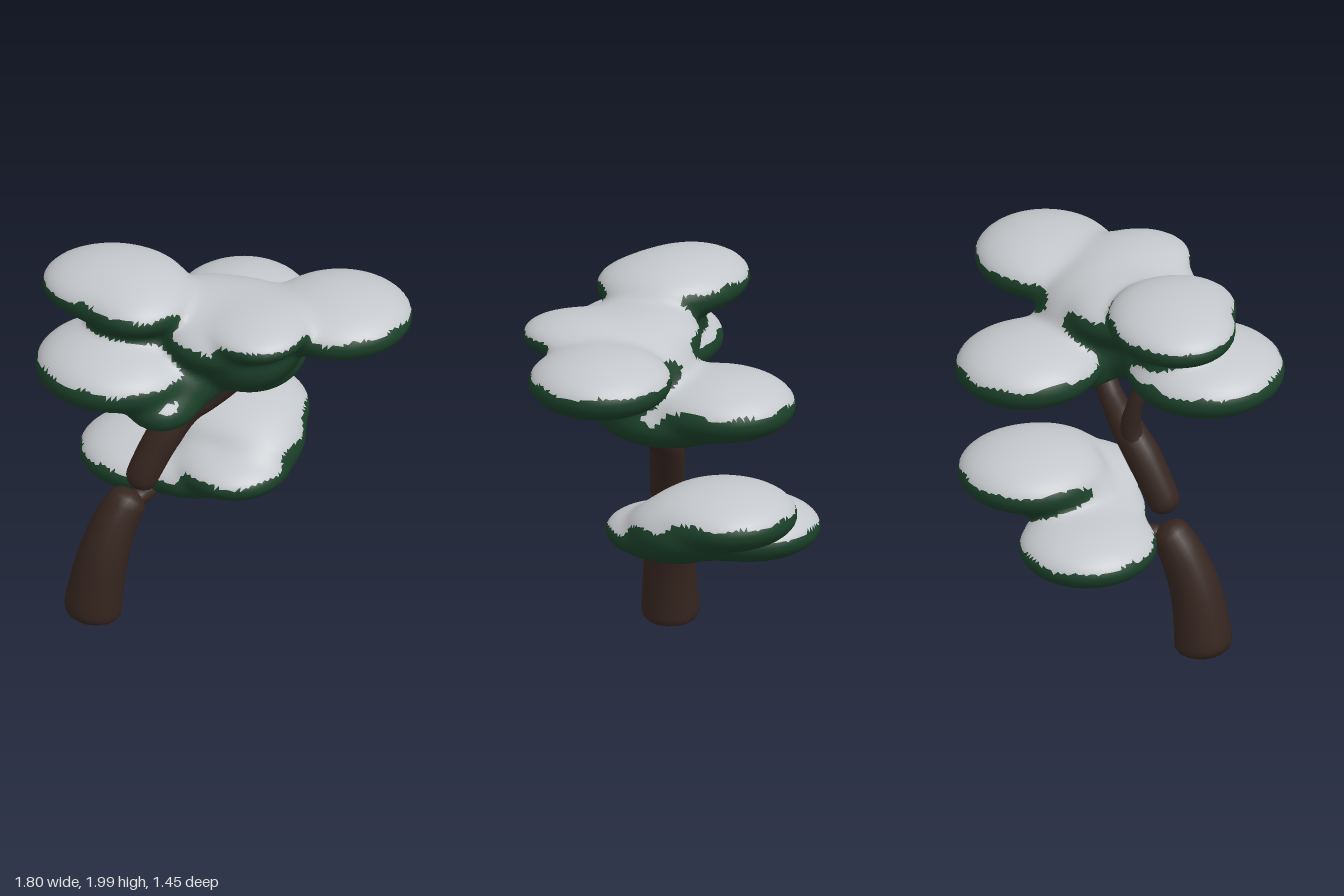
import * as THREE from 'three';
import { mergeVertices } from 'three/addons/utils/BufferGeometryUtils.js';

const material = (color, side = THREE.FrontSide) => new THREE.MeshStandardMaterial({ color, side });
const bark = material(0x35251f);
const leaf = material(0x1b4029, THREE.DoubleSide);
const snow = material(0xc4c7cb, THREE.DoubleSide);

// Each lobe: centre x, y, z, then radii x, y, z
const canopyLobes = [
  [-0.55, 1.855, 0.13, 0.35, 0.135, 0.30], // high left
  [-0.42, 1.84, 0.23, 0.26, 0.125, 0.295], // high left, inner side
  [-0.51, 1.53, 0.34, 0.39, 0.165, 0.385], // low left
  [-0.42, 1.68, 0.2, 0.22, 0.1, 0.2],      // web between the left lobes
  [-0.26, 1.40, 0.43, 0.18, 0.12, 0.235],  // small hanging lobe
  [-0.16, 1.48, 0.27, 0.2, 0.15, 0.24],    // web from hanging lobe to core
  [0.55, 1.715, 0.03, 0.355, 0.15, 0.35],  // right
  [0.20, 1.78, 0.33, 0.24, 0.10, 0.28],    // front
  [0.12, 1.63, 0.24, 0.25, 0.19, 0.28],    // slope under the front lobe
  [-0.02, 1.70, 0.28, 0.24, 0.13, 0.27],   // front shoulder
  [0.09, 1.60, 0.08, 0.30, 0.25, 0.30],    // core
  [-0.1, 1.72, 0.12, 0.24, 0.14, 0.28],    // bridge to the high left lobe
  [0.11, 1.41, -0.08, 0.26, 0.14, 0.32],   // underside
  [0.01, 1.485, -0.36, 0.34, 0.16, 0.365], // back
];
const lowerLobes = [
  [-0.45, 0.67, -0.28, 0.33, 0.14, 0.34],    // left
  [-0.01, 0.90, -0.37, 0.345, 0.15, 0.35],   // back
  [0.02, 0.765, -0.03, 0.265, 0.115, 0.275], // front
  [0.11, 0.83, -0.19, 0.23, 0.15, 0.26],     // slope from front to back
  [-0.2, 0.70, -0.12, 0.26, 0.115, 0.26],    // web from left to front
  [-0.13, 0.81, -0.22, 0.2, 0.13, 0.22],     // slope from web to back
];

// Distance to a smooth union of ellipsoids
function lobeField(lobes, blend = 0.028) {
  return (x, y, z) => {
    let sum = 0;
    for (const [cx, cy, cz, rx, ry, rz] of lobes) {
      const a = (x - cx) / rx, b = (y - cy) / ry, c = (z - cz) / rz;
      const k0 = Math.hypot(a, b, c), k1 = Math.hypot(a / rx, b / ry, c / rz) + 1e-9;
      sum += Math.exp(-Math.max(k0 * (k0 - 1) / k1, -0.4) / blend);
    }
    return -blend * Math.log(sum + 1e-30);
  };
}

// Surface net over a grid: one vertex per crossed cell, one quad per crossed edge
function surfaceNet(field, box, step) {
  const n = box.getSize(new THREE.Vector3()).divideScalar(step).ceil().toArray().map(v => v + 1);
  const o = box.min.toArray(), stride = [1, n[0], n[0] * n[1]];
  const total = n[0] * n[1] * n[2];
  const at = id => [id % n[0], Math.floor(id / n[0]) % n[1], Math.floor(id / stride[2])];
  const values = Float32Array.from({ length: total }, (_, id) =>
    field(...at(id).map((v, k) => o[k] + v * step)));
  const vertexOf = new Int32Array(total).fill(-1);
  const positions = [], normals = [], triangles = [];
  for (let id = 0; id < total; id++) {
    const cell = at(id);
    if (cell.some((v, k) => v >= n[k] - 1)) continue;
    const p = [0, 0, 0];
    let hits = 0;
    for (let c = 0; c < 8; c++) for (let k = 0; k < 3; k++) {
      if (c >> k & 1) continue;
      const bits = [c & 1, c >> 1 & 1, c >> 2 & 1];
      const i = id + bits[0] * stride[0] + bits[1] * stride[1] + bits[2] * stride[2];
      const a = values[i], b = values[i + stride[k]];
      if ((a < 0) === (b < 0)) continue;
      hits++;
      for (let m = 0; m < 3; m++) p[m] += bits[m] + (m === k ? a / (a - b) : 0);
    }
    if (!hits) continue;
    const [x, y, z] = p.map((v, k) => o[k] + (cell[k] + v / hits) * step);
    const e = 0.01;
    const normal = new THREE.Vector3(
      field(x + e, y, z) - field(x - e, y, z),
      field(x, y + e, z) - field(x, y - e, z),
      field(x, y, z + e) - field(x, y, z - e)).normalize();
    vertexOf[id] = positions.length / 3;
    positions.push(x, y, z);
    normals.push(...normal.toArray());
  }
  for (let id = 0; id < total; id++) {
    const cell = at(id);
    for (let k = 0; k < 3; k++) {
      const u = (k + 1) % 3, v = (k + 2) % 3;
      if (!cell[u] || !cell[v] || cell[k] >= n[k] - 1) continue;
      const inside = values[id] < 0;
      if (inside === (values[id + stride[k]] < 0)) continue;
      const q = [id - stride[u] - stride[v], id - stride[v], id, id - stride[u]].map(i => vertexOf[i]);
      if (!inside) q.reverse();
      triangles.push([q[0], q[1], q[2]], [q[0], q[2], q[3]]);
    }
  }
  return { positions, normals, triangles };
}

// Foliage mass: upward faces are snow, the rest is leaf
function foliage(name, lobes) {
  const box = new THREE.Box3();
  for (const [x, y, z, a, b, c] of lobes) {
    box.expandByPoint(new THREE.Vector3(x - a, y - b, z - c));
    box.expandByPoint(new THREE.Vector3(x + a, y + b, z + c));
  }
  box.expandByScalar(0.08);
  const { positions, normals, triangles } = surfaceNet(lobeField(lobes), box, 0.026);
  const isSnow = t => {
    const x = positions[t[0] * 3], z = positions[t[0] * 3 + 2];
    const up = t.reduce((s, i) => s + normals[i * 3 + 1], 0) / 3;
    return up > 0.46 + 0.14 * Math.sin(x * 19 + 1) * Math.cos(z * 17);
  };
  const group = new THREE.Group();
  group.name = name;
  const part = (label, mat, faces) => {
    const g = new THREE.BufferGeometry();
    g.setAttribute('position', new THREE.Float32BufferAttribute(positions, 3));
    g.setAttribute('normal', new THREE.Float32BufferAttribute(normals, 3));
    g.setIndex(faces.flat());
    const mesh = new THREE.Mesh(g, mat);
    mesh.name = label;
    group.add(mesh);
  };
  part('leaves', leaf, triangles.filter(t => !isSnow(t)));
  part('snowCap', snow, triangles.filter(isSnow));
  return group;
}

// Tapered limb with rounded ends; each point is x, y, z, radius
function limb(name, points, round = 0.06) {
  const curve = new THREE.CatmullRomCurve3(points.map(p => new THREE.Vector3(...p)));
  const length = curve.getLength(), rings = 28, sides = 16;
  const g = new THREE.TubeGeometry(curve, rings, 1, sides);
  const pos = g.attributes.position, p = new THREE.Vector3();
  for (let i = 0; i <= rings; i++) {
    // rings crowd towards the ends to round them
    const t = (1 - Math.cos(Math.PI * i / rings)) / 2;
    const from = curve.getPointAt(i / rings), to = curve.getPointAt(t);
    const f = curve.getUtoTmapping(t) * (points.length - 1);
    const a = Math.min(Math.floor(f), points.length - 2);
    const end = Math.min(1, Math.min(t, 1 - t) * length / round);
    const r = THREE.MathUtils.lerp(points[a][3], points[a + 1][3], f - a) * Math.sqrt(1 - (1 - end) ** 2);
    for (let j = 0; j <= sides; j++) {
      const k = i * (sides + 1) + j;
      p.fromBufferAttribute(pos, k).sub(from).multiplyScalar(r).add(to);
      pos.setXYZ(k, p.x, p.y, p.z);
    }
  }
  g.deleteAttribute('uv');
  g.deleteAttribute('normal');
  const smooth = mergeVertices(g, 1e-4);
  smooth.computeVertexNormals();
  const mesh = new THREE.Mesh(smooth, bark);
  mesh.name = name;
  return mesh;
}

export function createModel() {
  const tree = new THREE.Group();
  tree.name = 'snowyTree';
  tree.add(
    limb('lowerTrunk', [[-0.635, 0.005, 0.26, 0.14], [-0.63, 0.1, 0.26, 0.142], [-0.585, 0.36, 0.24, 0.125],
      [-0.52, 0.56, 0.19, 0.108], [-0.45, 0.68, 0.14, 0.09]], 0.06),
    limb('lowerBranch', [[-0.46, 0.62, 0.14, 0.05], [-0.40, 0.63, 0.06, 0.045], [-0.34, 0.67, -0.04, 0.04]]),
    limb('upperTrunk', [[-0.43, 0.72, 0.18, 0.075], [-0.39, 0.82, 0.155, 0.082], [-0.30, 1.0, 0.105, 0.088],
      [-0.20, 1.13, 0.065, 0.078], [-0.08, 1.21, 0.06, 0.062], [0.08, 1.36, 0.06, 0.055]]),
    limb('sideBranch', [[-0.29, 1.02, 0.10, 0.065], [-0.265, 1.14, 0.06, 0.055], [-0.29, 1.27, 0.06, 0.04],
      [-0.31, 1.45, 0.12, 0.04]]),
    foliage('canopy', canopyLobes),
    foliage('lowerFoliage', lowerLobes),
  );
  return tree;
}
